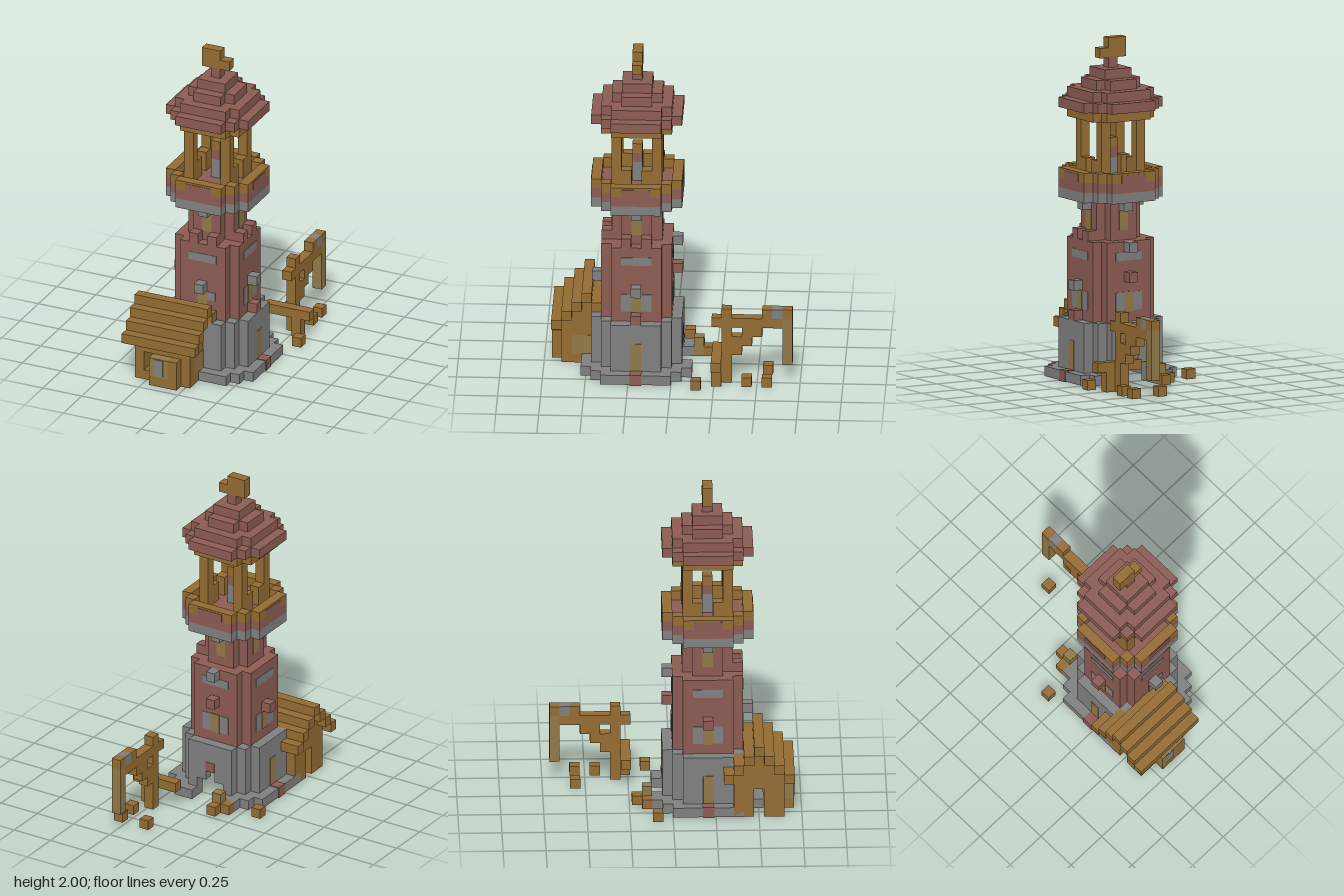
import * as THREE from 'three';
import { mergeGeometries } from 'three/addons/utils/BufferGeometryUtils.js';

const V = 1 / 17; // edge of one block

const material = (name, color) => {
  const m = new THREE.MeshStandardMaterial({ color });
  m.name = name;
  return m;
};

export function createModel() {
  const wood = material('wood', 0x946c33);
  const paleWood = material('paleWood', 0x917848);
  const brick = material('brick', 0x8c5c53);
  const stone = material('stone', 0x808080);

  const root = new THREE.Group();
  root.name = 'blockTower';

  // Block of cells a0..a1 (x), j0..j1 (y), b0..b1 (z), counted from the tower axis
  const cells = (a0, a1, j0, j1, b0, b1, grow = 0) => {
    const g = new THREE.BoxGeometry(
      (a1 - a0 + 1) * V + 2 * grow, (j1 - j0 + 1) * V + 2 * grow, (b1 - b0 + 1) * V + 2 * grow);
    g.translate((a0 + a1) / 2 * V, (j0 + j1 + 1) / 2 * V, ((b0 + b1) / 2 + 3.5) * V);
    return g;
  };
  const cell = (a, j, b) => cells(a, a, j, j, b, b);

  // Half width of a stepped octagon in row b
  const half = (r, s, b) => (Math.abs(b) > r ? -1 : Math.min(r, s - Math.abs(b)));

  // Stepped octagonal layer, optionally hollow and with a doorway at the back
  const octagon = (r, s, j0, j1, hole = null, gap = -1) => {
    const out = [];
    for (let b = -r; b <= r; b++) {
      const w = half(r, s, b);
      const inner = Math.max(hole ? half(hole[0], hole[1], b) : -1, b <= -4 ? gap : -1);
      if (inner < 0) out.push(cells(-w, w, j0, j1, b, b));
      else out.push(cells(-w, -inner - 1, j0, j1, b, b), cells(inner + 1, w, j0, j1, b, b));
    }
    return out;
  };

  const add = (name, mat, ...geometries) => {
    const mesh = new THREE.Mesh(mergeGeometries(geometries.flat()), mat);
    mesh.name = name;
    root.add(mesh);
  };

  // Thin panel on one of the four sides; side 0 is the front, then left, back, right
  const panel = (side, dist, u0, u1, j0, j1, lift = 0) => {
    const d = 0.006;
    const g = new THREE.BoxGeometry((u1 - u0) * V, (j1 - j0) * V, d);
    g.translate((u0 + u1) / 2 * V, (j0 + j1) / 2 * V, (dist + 0.5) * V + lift);
    g.rotateY(side * Math.PI / 2);
    return g.translate(0, 0, 3.5 * V);
  };
  const sides = [0, 1, 2, 3];
  const around = (...p) => sides.map((s) => panel(s, ...p));

  // Hollow stone base with a back doorway
  add('foundation', stone, octagon(5, 8, 0, 0, [3, 5], 1));
  add('baseWall', stone,
    octagon(4, 6, 1, 1, [3, 5], 1), octagon(4, 6, 2, 2, [3, 5], 0), octagon(4, 6, 3, 5, [3, 5]));
  add('sideSteps', brick, cells(5, 5, 0, 0, 0, 0, 0.004), cells(-5, -5, 0, 0, 0, 0, 0.004));
  add('sideDoors', paleWood, panel(1, 4, -0.5, 0.5, 1, 4), panel(3, 4, -0.5, 0.5, 1, 4));
  add('doorKeystone', brick, panel(2, 4, -0.5, 0.5, 3, 4));

  // Brick shaft
  add('lowerShaft', brick, octagon(3, 5, 6, 13));
  add('upperShaft', brick, octagon(2, 3, 14, 17));
  add('shaftButtresses', brick,
    cell(3, 14, 1), cell(3, 14, -1), cell(1, 14, 3), cell(-1, 14, 3));
  add('stonePatches', stone, around(3, -1.5, 1.5, 12.1, 12.95),
    sides.slice(1).map((s) => panel(s, 3, -1.5, 1.5, 7.1, 8.95)), panel(0, 3, 0.5, 1.4, 8, 8.9));
  add('lowerWindows', paleWood, around(3, -0.5, 0.5, 7, 9, 0.003));
  add('upperWindows', paleWood, around(2, -0.5, 0.5, 15, 17));
  add('stoneLedges', stone, cell(0, 9, 4), cell(4, 9, 0), cell(0, 13, -4));
  add('brickLedges', brick, cell(4, 6, 0), cell(-4, 9, 0), cell(0, 10, -4));

  // Lookout platform and railing
  add('brackets', stone, cell(3, 17, 0), cell(-3, 17, 0), cell(0, 17, 3), cell(0, 17, -3));
  add('platformUnderside', stone, octagon(4, 6, 18, 18));
  add('platformFloor', brick, octagon(4, 6, 19, 19));
  add('railing', wood, octagon(4, 6, 20, 20, [3, 5]));
  add('railingPanels', brick, around(4, -1.4, 1.4, 20, 20.8));
  const corners = [[2, 2], [2, -2], [-2, 2], [-2, -2]];
  add('roofPosts', wood, corners.map(([a, b]) => cells(a, a, 20, 25, b, b)));
  add('postFeet', wood, corners.map(([a, b]) => cells(a, a, 20, 21, b / 2, b / 2)));

  // Beacon on the platform
  add('beaconStand', stone, cells(0, 0, 20, 21, 0, 0));
  add('beaconBody', brick, cell(0, 22, 0));
  add('beaconTop', wood, cell(0, 23, 0));

  // Stepped roof, spire and flag
  add('roofFrame', wood, octagon(3, 5, 26, 26));
  add('roof', brick, octagon(4, 6, 27, 27), octagon(3, 5, 28, 28),
    octagon(2, 3, 29, 29), octagon(1, 2, 30, 30));
  add('spire', brick, cell(0, 31, 0));
  add('flag', wood, cells(-1, 1, 32, 32, 0, 0), cells(-1, 0, 33, 33, 0, 0));

  // Shed with stepped gable roof
  const shedRoof = [];
  for (let k = 0; k < 4; k++) {
    shedRoof.push(cells(-6, 1, 7 - k, 7 - k, 5 + k, 5 + k));
    if (k) shedRoof.push(cells(-6, 1, 7 - k, 7 - k, 5 - k, 5 - k));
  }
  add('shedRoof', wood, shedRoof);
  const gable = (a) => [cells(a, a, 4, 4, 3, 7), cells(a, a, 5, 5, 4, 6), cell(a, 6, 5)];
  add('shedGables', wood, gable(-5), gable(0));
  add('shedWalls', wood,
    cells(-5, -5, 0, 3, 6, 7), cells(-5, -5, 0, 3, 3, 4), cells(-5, -5, 3, 3, 5, 5),
    cells(0, 0, 0, 3, 5, 7), cells(-4, -1, 0, 0, 7, 7), cells(-4, -1, 3, 3, 7, 7),
    cells(-4, -4, 0, 3, 3, 3));
  add('shedSideWindow', paleWood, panel(1, 0, -6.5, -4.5, 1, 3));
  add('porchPost', wood, cells(-1, -1, 0, 2, 8, 8));
  add('porchCrate', paleWood, cells(-3, -2, 1, 2, 8, 8));
  add('porchCrateBase', wood, cells(-3, -2, 0, 0, 8, 8));
  add('porchCratePanel', stone, panel(0, 8, -3, -2, 1.1, 2.9));

  // Wooden crane behind the tower
  add('cranePost', wood, cells(4, 4, 0, 7, -9, -9));
  add('craneBeam', wood, cell(4, 6, -8), cells(4, 4, 6, 6, -14, -10),
    cell(4, 7, -13), cell(4, 7, -15));
  add('craneBeamJoint', stone, cell(4, 7, -14));
  add('craneHanger', paleWood, cells(4, 4, 2, 6, -15, -15));
  add('craneBrace', wood, cells(4, 4, 3, 4, -10, -10), cells(4, 4, 4, 5, -11, -11), cell(4, 5, -12));
  add('craneCrossbar', wood, cells(2, 6, 2, 2, -8, -8), cells(5, 5, 0, 1, -8, -8));

  // Loose blocks on the ground
  add('looseBlocks', wood, cell(5, 0, -11), cell(5, 0, -13), cell(2, 0, -13),
    cell(6, 0, -6), cell(-6, 0, -5), cell(-3, 0, -6), cell(-2, 0, -7));
  add('stackedBlocks', paleWood, cells(-2, -2, 0, 1, -6, -6));

  return root;
}
